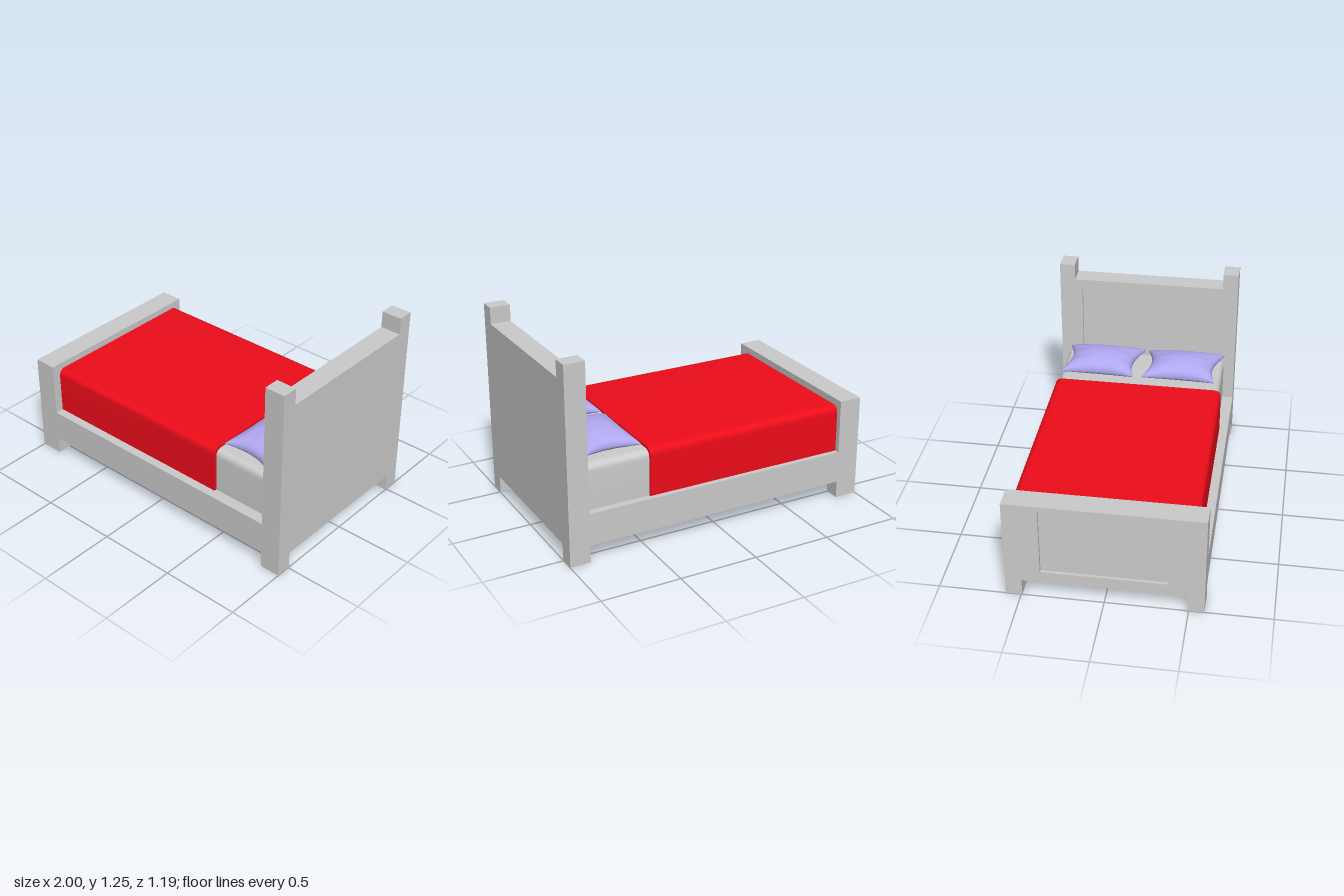
import * as THREE from 'three';
import { toCreasedNormals, mergeVertices } from 'three/addons/utils/BufferGeometryUtils.js';

const HALF = 0.593; // half width of the bed frame along z
const POST = 0.1;   // post width along z

const wood = new THREE.MeshStandardMaterial({ color: 0xcccccc });
const sheet = new THREE.MeshStandardMaterial({ color: 0xcccccc });
const red = new THREE.MeshStandardMaterial({ color: 0xee0c1a });
const lilac = new THREE.MeshStandardMaterial({ color: 0xb0a8f0 });

function addMesh(parent, name, geometry, material) {
  const mesh = new THREE.Mesh(geometry, material);
  mesh.name = name;
  parent.add(mesh);
  return mesh;
}

// Extrudes a (z, y) profile along x, from x0 to x1
function extrudeX(shape, x0, x1) {
  const geo = new THREE.ExtrudeGeometry(shape, { depth: x1 - x0, bevelEnabled: false, curveSegments: 8 });
  return geo.rotateY(-Math.PI / 2).translate(x1, 0, 0);
}

const polygon = (points) => new THREE.Shape(points.map(([z, y]) => new THREE.Vector2(z, y)));

// End board with legs, corner posts and a panel sunk into its -x face
function endBoard(name, x0, x1, postTop, boardTop, panel) {
  const group = new THREE.Group();
  group.name = name;
  const inner = HALF - POST, rail = 0.11, sunk = 0.02;
  const half = [[0, rail], [inner, rail], [inner, 0], [HALF, 0], [HALF, postTop]];
  if (postTop > boardTop) half.push([inner, postTop], [inner, boardTop]);
  const outline = [...half.slice(1), ...half.slice(1).reverse().map(([z, y]) => [-z, y])];
  const { z, y0, y1 } = panel;
  const frame = polygon(outline);
  frame.holes.push(polygon([[-z, y0], [-z, y1], [z, y1], [z, y0]]));
  addMesh(group, name + 'Frame', extrudeX(frame, x0, x0 + sunk), wood);
  addMesh(group, name + 'Back', extrudeX(polygon(outline), x0 + sunk, x1), wood);
  return group;
}

// Slab with rounded upper long edges, used for the mattress and the blanket
function softSlab(x0, x1, z0, z1, y0, y1, r) {
  const s = new THREE.Shape();
  s.moveTo(z0, y0);
  s.lineTo(z1, y0);
  s.lineTo(z1, y1 - r);
  s.quadraticCurveTo(z1, y1, z1 - r, y1);
  s.lineTo(z0 + r, y1);
  s.quadraticCurveTo(z0, y1, z0, y1 - r);
  s.closePath();
  return toCreasedNormals(extrudeX(s, x0, x1), 0.6);
}

// Pillow: a sphere-like pair of sheets with pinched corners and gathered ends
function pillowGeometry() {
  const n = 24, parts = [], index = [];
  for (const side of [1, -1]) {
    const base = parts.length / 3;
    for (let j = 0; j <= n; j++) {
      for (let i = 0; i <= n; i++) {
        const u = Math.sin((i / n - 0.5) * Math.PI), v = Math.sin((j / n - 0.5) * Math.PI);
        const bu = Math.max(0, 1 - u * u), bv = Math.max(0, 1 - v * v);
        const waist = u > 0 ? 0.22 : 0.16;
        const x = 0.178 * u * (1 - waist * bv) + 0.004 * u * v;
        const z = 0.252 * v * (1 - 0.18 * bu) + (v > 0 ? 0.022 * u * v : -0.003 * u * v);
        const puff = Math.pow(bu, 0.42) * Math.pow(bv, 0.42);
        const crease = 1 - 0.09 * v * v * (1 - Math.cos(u * 11)) * puff;
        const y = side * (side > 0 ? 0.087 : 0.052) * puff * crease;
        parts.push(x, y, z);
        if (i < n && j < n) {
          const a = base + j * (n + 1) + i, b = a + 1, c = a + n + 1, d = c + 1;
          if (side > 0) index.push(a, c, b, b, c, d);
          else index.push(a, b, c, b, d, c);
        }
      }
    }
  }
  let geo = new THREE.BufferGeometry();
  geo.setAttribute('position', new THREE.Float32BufferAttribute(parts, 3));
  geo.setIndex(index);
  geo = mergeVertices(geo, 1e-5);
  geo.computeVertexNormals();
  return geo;
}

export function createModel() {
  const bed = new THREE.Group();
  bed.name = 'bed';

  // Wooden frame
  bed.add(endBoard('headboard', 0.87, 1, 1.25, 1.145, { z: 0.445, y0: 0.35, y1: 1.07 }));
  bed.add(endBoard('footboard', -1, -0.855, 0.66, 0.66, { z: 0.38, y0: 0.185, y1: 0.63 }));
  const base = new THREE.BoxGeometry(1.725, 0.205, 2 * HALF).translate(0.0075, 0.2125, 0);
  addMesh(bed, 'bedBase', base, wood);

  // Bedding
  addMesh(bed, 'mattress', softSlab(-0.85, 0.87, -0.547, 0.522, 0.31, 0.602, 0.05), sheet);
  addMesh(bed, 'blanket', softSlab(-0.855, 0.46, -0.56, 0.538, 0.314, 0.617, 0.05), red);

  // Two matching pillows side by side
  const pillow = pillowGeometry();
  for (const [name, z] of [['backPillow', -0.278], ['frontPillow', 0.258]]) {
    addMesh(bed, name, pillow, lilac).position.set(0.677, 0.649, z);
  }
  return bed;
}
